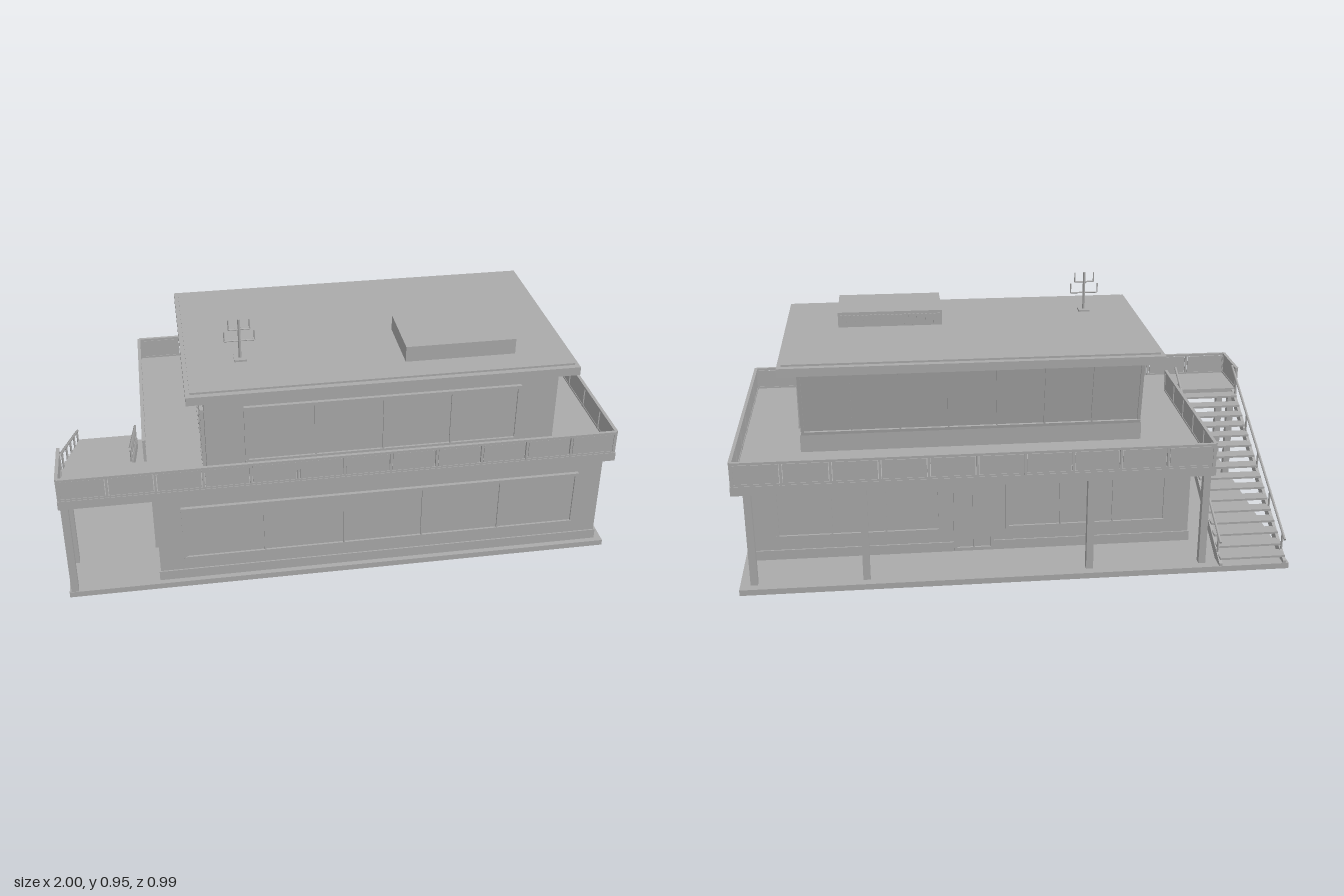
import * as THREE from 'three';

const grey = new THREE.MeshStandardMaterial({ color: 0xaaaaaa });
grey.name = 'concrete grey';

function add(parent, name, geo) {
  const m = new THREE.Mesh(geo, grey);
  m.name = name;
  parent.add(m);
  return m;
}

// Box given by its minimum and maximum on each axis
function box(parent, name, x0, x1, y0, y1, z0, z1) {
  const m = add(parent, name, new THREE.BoxGeometry(x1 - x0, y1 - y0, z1 - z0));
  m.position.set((x0 + x1) / 2, (y0 + y1) / 2, (z0 + z1) / 2);
  return m;
}

// Straight round bar between two points
function bar(parent, name, a, b, r) {
  const p = new THREE.Vector3(...a), q = new THREE.Vector3(...b);
  const m = add(parent, name, new THREE.CylinderGeometry(r, r, p.distanceTo(q), 8));
  m.position.copy(p).add(q).multiplyScalar(0.5);
  m.quaternion.setFromUnitVectors(new THREE.Vector3(0, 1, 0), q.sub(p).normalize());
  return m;
}

function group(parent, name) {
  const g = new THREE.Group();
  g.name = name;
  parent.add(g);
  return g;
}

// Side profile of [z, y] points pulled along x
function pullX(parent, name, pts, x0, x1) {
  const shape = new THREE.Shape(pts.map(p => new THREE.Vector2(p[0], p[1])));
  const geo = new THREE.ExtrudeGeometry(shape, { depth: x1 - x0, bevelEnabled: false });
  geo.rotateY(-Math.PI / 2).translate(x1, 0, 0);
  return add(parent, name, geo);
}

// Framed row of panes facing local +z
function windowRow(parent, name, w, h, panes, pos, turn, tilt = 0) {
  const g = group(parent, name), f = 0.012, d = 0.012;
  box(g, 'glass', -w / 2, w / 2, -h / 2, h / 2, -0.004, 0.004);
  for (const s of [-1, 1]) {
    const y = s * (h - f) / 2;
    box(g, 'frameRail', -w / 2, w / 2, y - f / 2, y + f / 2, -0.004, d);
  }
  for (let i = 0; i <= panes; i++) {
    const x = -w / 2 + f / 2 + (w - f) * i / panes;
    const half = i % panes ? 0.003 : f / 2;
    box(g, 'mullion', x - half, x + half, -h / 2 + f, h / 2 - f, -0.004, d - 0.001);
  }
  g.position.set(...pos);
  g.rotation.set(tilt, turn, 0, 'YXZ');
}

// Panel railing along a straight edge from (x0,z0) to (x1,z1)
function railing(parent, x0, z0, x1, z1, panels) {
  const g = group(parent, 'deckRailing');
  const len = Math.hypot(x1 - x0, z1 - z0), step = len / panels;
  box(g, 'topRail', 0, len, 0.505, 0.514, -0.006, 0.006);
  box(g, 'bottomRail', 0, len, 0.425, 0.432, -0.004, 0.004);
  for (let i = 0; i <= panels; i++) {
    const x = Math.min(Math.max(i * step, 0.004), len - 0.004);
    box(g, 'post', x - 0.004, x + 0.004, 0.42, 0.506, -0.005, 0.005);
    if (i < panels) box(g, 'panel', i * step + 0.007, (i + 1) * step - 0.007, 0.432, 0.502, -0.002, 0.002);
  }
  g.position.set(x0, 0, z0);
  g.rotation.y = -Math.atan2(z1 - z0, x1 - x0);
}

export function createModel() {
  const model = new THREE.Group();
  model.name = 'house';
  const right = Math.PI / 2, back = Math.PI;

  // Ground slab and ground floor
  box(model, 'groundSlab', -1, 1, 0, 0.022, -0.492, 0.49);
  box(model, 'groundFloor', -0.67, 0.968, 0.02, 0.392, -0.27, 0.465);
  box(model, 'plinth', -0.675, 0.973, 0.02, 0.06, -0.275, 0.47);
  windowRow(model, 'frontWindow', 1.46, 0.225, 5, [0.147, 0.222, 0.466], 0);
  windowRow(model, 'rightWindow', 0.57, 0.225, 3, [0.969, 0.222, 0.103], right);
  windowRow(model, 'leftWindow', 0.57, 0.225, 3, [-0.671, 0.222, 0.103], -right);
  for (const s of [-1, 1])
    windowRow(model, 'backWindow', 0.61, 0.225, 3, [0.15 + s * 0.425, 0.222, -0.271], back);
  windowRow(model, 'backDoor', 0.15, 0.275, 2, [0.15, 0.165, -0.271], back);

  // Deck with a notch for the stairs (shape y is -z)
  const deck = new THREE.Shape([[-1, -0.495], [1, -0.495], [1, 0.495], [-0.7, 0.495], [-0.7, -0.29], [-1, -0.29]]
    .map(p => new THREE.Vector2(...p)));
  const deckGeo = new THREE.ExtrudeGeometry(deck, { depth: 0.034, bevelEnabled: false });
  deckGeo.rotateX(-Math.PI / 2).translate(0, 0.391, 0);
  add(model, 'deck', deckGeo);

  // Columns under the deck
  for (const [x, z] of [[0.95, -0.447], [0.55, -0.447], [-0.26, -0.447], [-0.68, -0.447], [-0.98, 0.31], [-0.98, 0.475]])
    box(model, 'column', x - 0.013, x + 0.013, 0.02, 0.392, z - 0.013, z + 0.013);

  // Deck railings
  railing(model, -0.994, 0.489, 0.994, 0.489, 12);
  railing(model, 0.994, 0.489, 0.994, -0.489, 6);
  railing(model, 0.994, -0.489, -0.694, -0.489, 10);
  railing(model, -0.694, -0.489, -0.694, 0.29, 5);
  railing(model, -0.994, 0.29, -0.994, 0.489, 1);

  // Upper floor with the back wall leaning outwards
  pullX(model, 'upperFloor', [[-0.19, 0.42], [0.44, 0.42], [0.44, 0.76], [-0.25, 0.76]], -0.48, 0.77);
  box(model, 'backSill', -0.485, 0.775, 0.42, 0.492, -0.212, -0.17);
  const tilt = Math.atan2(0.06, 0.34);
  windowRow(model, 'upperBackWindow', 1.25, 0.265, 7, [0.145, 0.625, -0.2275], back, tilt);
  windowRow(model, 'upperFrontWindow', 0.98, 0.225, 4, [0.145, 0.603, 0.441], 0);
  windowRow(model, 'upperRightWindow', 0.51, 0.225, 3, [0.771, 0.603, 0.115], right);
  windowRow(model, 'upperLeftWindow', 0.34, 0.225, 2, [-0.481, 0.603, 0.04], -right);
  windowRow(model, 'upperDoor', 0.15, 0.26, 2, [-0.481, 0.558, 0.325], -right);

  // Roof with a thin raised cover
  box(model, 'roof', -0.54, 0.832, 0.757, 0.788, -0.328, 0.48);
  box(model, 'roofCover', -0.525, 0.817, 0.785, 0.795, -0.305, 0.46);

  // Rooftop vent box with louvres at the back
  const vent = group(model, 'roofVent');
  box(vent, 'ventBox', 0.235, 0.63, 0.79, 0.853, 0.114, 0.36);
  for (let i = 0; i < 24; i++) {
    const x = 0.247 + i * 0.0161;
    box(vent, 'louvre', x - 0.004, x + 0.004, 0.8, 0.842, 0.108, 0.116);
  }

  // Aerial with two upturned crossbars
  const aerial = group(model, 'aerial');
  aerial.position.set(-0.335, 0, 0.25);
  box(aerial, 'foot', -0.022, 0.022, 0.79, 0.802, -0.022, 0.022);
  bar(aerial, 'mast', [0, 0.79, 0], [0, 0.95, 0], 0.005);
  for (const [y, w] of [[0.868, 0.053], [0.912, 0.037]]) {
    bar(aerial, 'crossbar', [-w, y, 0], [w, y, 0], 0.003);
    for (const s of [-1, 1]) bar(aerial, 'prong', [s * w, y, 0], [s * w, y + 0.037, 0], 0.0025);
  }

  // Stairs with open risers, climbing towards the front
  const stairs = group(model, 'stairs');
  const slope = z => 0.022 + (z + 0.49) * 0.5;
  for (const x of [-0.99, -0.75])
    pullX(stairs, 'stringer', [[-0.49, 0.02], [-0.43, 0.02], [0.295, 0.385], [0.295, 0.422], [-0.49, 0.032]], x, x + 0.012);
  for (let i = 0; i < 16; i++) {
    const z = -0.462 + i * 0.048, y = slope(z) + 0.012;
    box(stairs, 'tread', -0.985, -0.742, y - 0.004, y + 0.004, z - 0.024, z + 0.024);
  }
  for (const x of [-0.985, -0.743]) {
    bar(stairs, 'handrail', [x, 0.107, -0.47], [x, 0.51, 0.33], 0.005);
    for (let i = 0; i < 5; i++) {
      const z = -0.44 + i * 0.175;
      bar(stairs, 'handrailPost', [x, slope(z), z], [x, 0.107 + (z + 0.47) * 0.504, z], 0.004);
    }
  }
  return model;
}
